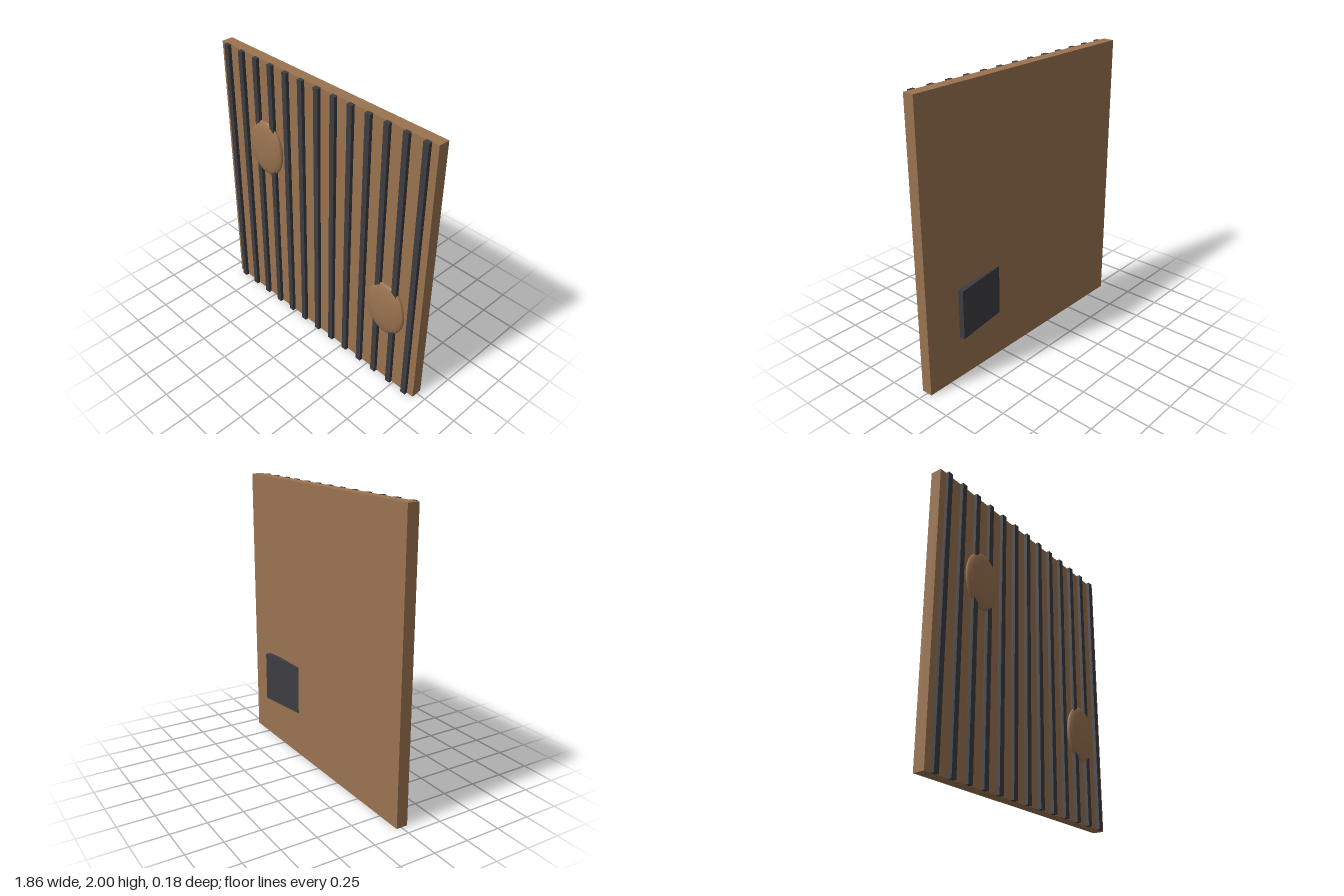
import * as THREE from 'three';

export function createModel() {
  const model = new THREE.Group();
  model.name = 'slattedPanel';
  const wood = new THREE.MeshStandardMaterial({ color: 0x9a7350 });
  const dark = new THREE.MeshStandardMaterial({ color: 0x3d3d42 });

  const add = (name, geometry, material, x, y, z) => {
    const mesh = new THREE.Mesh(geometry, material);
    mesh.name = name;
    mesh.position.set(x, y, z);
    model.add(mesh);
    return mesh;
  };

  // Flat wooden board
  add('board', new THREE.BoxGeometry(1.858, 2, 0.08), wood, 0, 1, 0.005);

  // Thirteen dark upright strips on the front
  const strip = new THREE.BoxGeometry(0.04, 2, 0.03);
  for (let i = -6; i <= 6; i++) add('strip', strip, dark, i * 0.143, 1, 0.055);

  // Two flattened oval knobs
  const oval = new THREE.SphereGeometry(1, 16, 12).scale(0.165, 0.205, 0.035);
  add('upperKnob', oval, wood, -0.5, 1.36, 0.057);
  add('lowerKnob', oval, wood, 0.643, 0.645, 0.057);

  // Tilted plate half sunk into the back
  const plate = add('backPlate', new THREE.BoxGeometry(0.43, 0.357, 0.037), dark, 0.457, 0.503, -0.042);
  plate.rotation.y = 0.14;

  return model;
}
